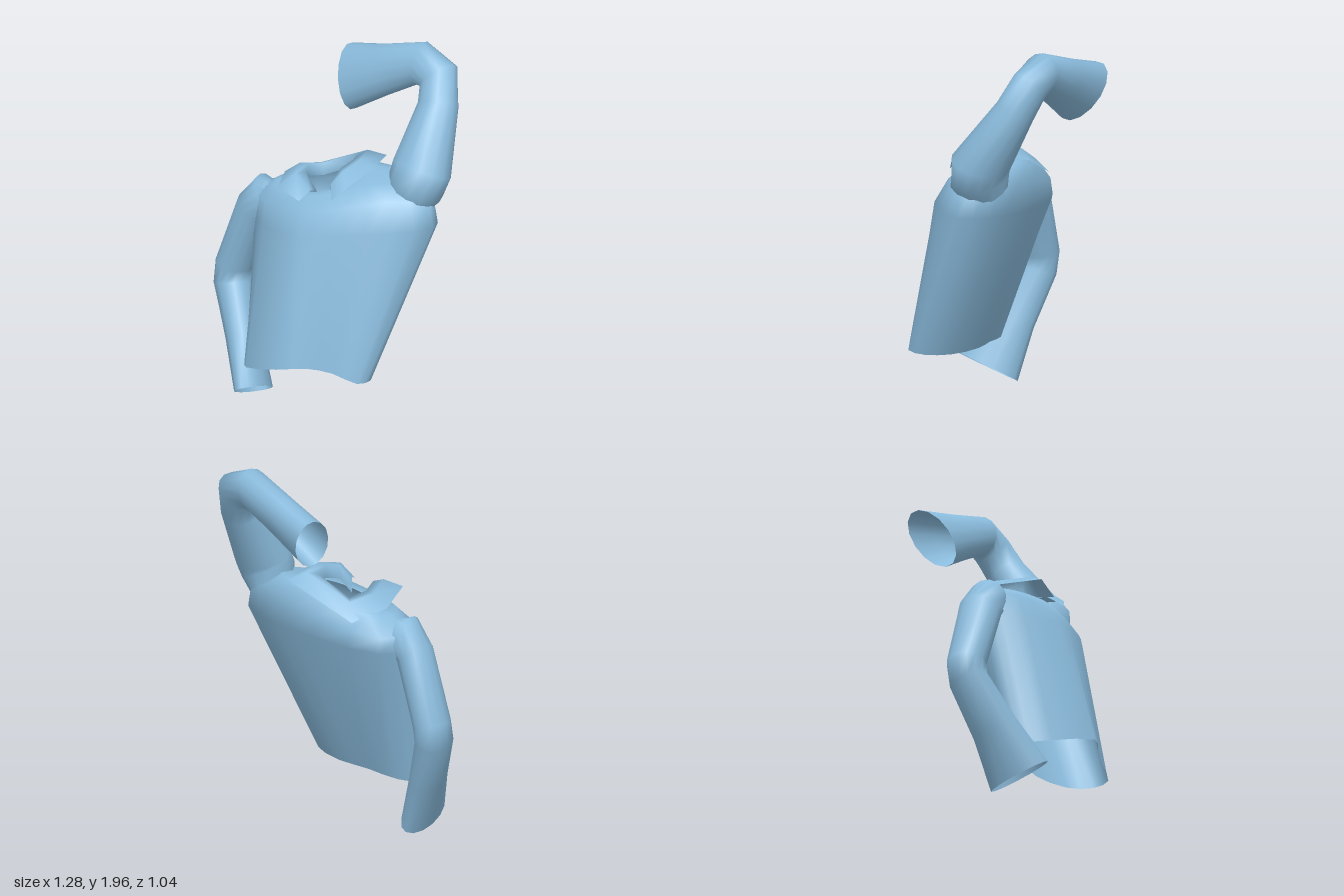
import * as THREE from 'three';

const V = (x, y, z) => new THREE.Vector3(x, y, z);

// Skin a list of point rows; closed rows wrap round
function skin(rows, closed) {
  const n = rows[0].length, pos = [], idx = [];
  rows.forEach(r => r.forEach(p => pos.push(p.x, p.y, p.z)));
  for (let i = 0; i < rows.length - 1; i++) {
    for (let j = 0; j < (closed ? n : n - 1); j++) {
      const k = (j + 1) % n, a = i * n, b = a + n;
      idx.push(a + j, a + k, b + k, a + j, b + k, b + j);
    }
  }
  const g = new THREE.BufferGeometry();
  g.setAttribute('position', new THREE.Float32BufferAttribute(pos, 3));
  g.setIndex(idx);
  g.computeVertexNormals();
  return g;
}

// Smooth closed cross-section through a few points
function section(points, count) {
  const curve = new THREE.CatmullRomCurve3(points.map(p => V(...p)), true);
  return Array.from({ length: count }, (_, j) => curve.getPoint(j / count));
}

// Sleeve: stations of [x, y, z, radius in the bend plane, radius across it]
function sleeve(stations, across) {
  const c = stations.map(s => V(s[0], s[1], s[2]));
  return skin(stations.map((s, i) => {
    const before = c[i].clone().sub(c[Math.max(i - 1, 0)]).normalize();
    const after = c[Math.min(i + 1, c.length - 1)].clone().sub(c[i]).normalize();
    const n = before.add(after).normalize();
    const f = across.clone().addScaledVector(n, -across.dot(n)).normalize();
    const e = f.clone().cross(n);
    return Array.from({ length: 14 }, (_, j) => {
      const t = j / 14 * Math.PI * 2;
      return c[i].clone().addScaledVector(e, s[3] * Math.cos(t)).addScaledVector(f, s[4] * Math.sin(t));
    });
  }), true);
}

export function createModel() {
  const cloth = new THREE.MeshStandardMaterial({ color: 0x8abbdc, side: THREE.DoubleSide });
  cloth.name = 'blue cloth';
  const model = new THREE.Group();
  model.name = 'shirt';
  const add = (name, geometry) => {
    const m = new THREE.Mesh(geometry, cloth);
    m.name = name;
    model.add(m);
  };

  // Torso: each section runs right, front, left, back
  const sides = 24;
  const hem = section([
    [-0.42, 0.285, 0], [-0.46, 0.285, 0.08], [-0.455, 0.3, 0.2], [-0.29, 0.385, 0.43],
    [-0.13, 0.4, 0.45], [0, 0.385, 0.475], [0.13, 0.345, 0.515], [0.2, 0.335, 0.44],
    [0.19, 0.33, 0.3], [0.05, 0.325, 0.14], [-0.12, 0.315, 0.06], [-0.3, 0.295, -0.02]], sides);
  const chest = section([
    [-0.41, 1.06, -0.17], [-0.41, 1.06, -0.07], [-0.37, 1.05, 0.06], [-0.24, 1.07, 0.24],
    [-0.09, 1.1, 0.33], [0.06, 1.12, 0.37], [0.3, 1.14, 0.38], [0.52, 1.14, 0.31],
    [0.53, 1.14, 0.14], [0.36, 1.12, -0.03], [0.1, 1.1, -0.19], [-0.25, 1.07, -0.285]], sides);
  const shoulder = section([
    [-0.41, 1.16, -0.17], [-0.41, 1.17, -0.1], [-0.36, 1.17, 0.02], [-0.24, 1.18, 0.15],
    [-0.1, 1.2, 0.24], [0.06, 1.24, 0.29], [0.28, 1.29, 0.32], [0.5, 1.29, 0.29],
    [0.5, 1.31, 0.13], [0.36, 1.29, -0.04], [0.1, 1.22, -0.19], [-0.26, 1.15, -0.275]], sides);
  const neck = shoulder.map((_, j) => {
    const t = Math.PI + 0.75 - j / sides * Math.PI * 2;
    return V(-0.02 + 0.15 * Math.cos(t), 1.3 + 0.055 * Math.cos(t) - 0.02 * Math.sin(t), 0.13 * Math.sin(t));
  });
  const yoke = shoulder.map((p, j) => p.clone().lerp(neck[j], 0.45).add(V(0, 0.035, 0)));
  add('torso', skin([hem, chest, shoulder, yoke, neck], true));

  // Raised left sleeve, bent back at the elbow
  add('leftSleeve', sleeve([
    [0.4, 1.26, 0.14, 0.13, 0.12],
    [0.43, 1.335, 0.175, 0.17, 0.14],
    [0.46, 1.42, 0.175, 0.175, 0.145],
    [0.54, 1.71, 0.005, 0.11, 0.105],
    [0.54, 1.84, -0.07, 0.115, 0.1],
    [0.45, 1.885, -0.14, 0.115, 0.1],
    [0.25, 1.785, -0.28, 0.14, 0.1],
    [0.08, 1.695, -0.405, 0.18, 0.105],
  ], V(-0.122, 0.086, 0.107)));

  // Lowered right sleeve, bent forward at the elbow
  add('rightSleeve', sleeve([
    [-0.25, 1.17, -0.1, 0.06, 0.06],
    [-0.34, 1.14, -0.135, 0.11, 0.12],
    [-0.42, 1.05, -0.175, 0.115, 0.1],
    [-0.525, 0.7, -0.25, 0.105, 0.1],
    [-0.535, 0.6, -0.24, 0.105, 0.1],
    [-0.475, 0.35, -0.1, 0.125, 0.09],
    [-0.42, 0.105, 0.03, 0.17, 0.085],
  ], V(-0.18, -0.06, -0.05)));

  // Collar: folded strip, open at the throat
  const inner = [V(-0.02, 1.32, 0.14), V(0.04, 1.4, 0.12), V(0.1, 1.42, 0.06), V(0.12, 1.41, -0.06),
    V(-0.06, 1.32, -0.13), V(-0.14, 1.34, -0.07), V(-0.15, 1.35, 0.06), V(-0.09, 1.26, 0.1)];
  const outer = [V(-0.01, 1.28, 0.28), V(0.06, 1.34, 0.28), V(0.21, 1.39, 0.1), V(0.27, 1.38, -0.1),
    V(-0.1, 1.22, -0.25), V(-0.26, 1.27, -0.13), V(-0.29, 1.3, 0.15), V(-0.18, 1.25, 0.22)];
  const stand = inner.map(p => p.clone().add(V(0, -0.07, 0)));
  const fold = inner.map((p, i) => p.clone().lerp(outer[i], 0.35).add(V(0, 0.02, 0)));
  add('collar', skin([stand, inner, fold, outer], false));

  return model;
}
